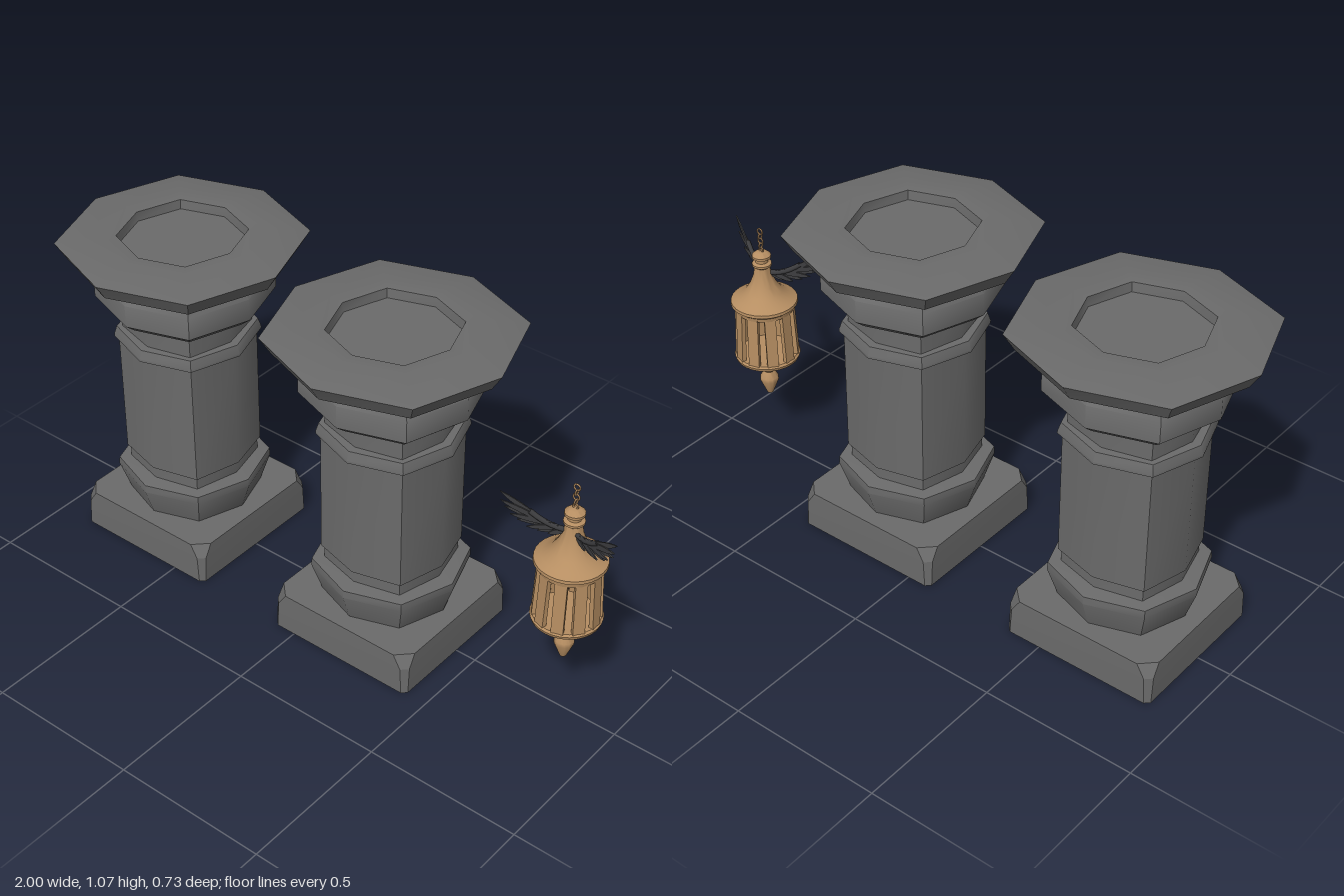
import * as THREE from 'three';
import { toCreasedNormals } from 'three/addons/utils/BufferGeometryUtils.js';

const stone = new THREE.MeshStandardMaterial({ color: 0x6b6b6b });
stone.name = 'grey stone';
const bronze = new THREE.MeshStandardMaterial({ color: 0xb68e62 });
bronze.name = 'tan bronze';
const feather = new THREE.MeshStandardMaterial({ color: 0x3e3e40, side: THREE.DoubleSide });
feather.name = 'dark feather';

function add(parent, name, geometry, material) {
  const mesh = new THREE.Mesh(geometry, material);
  mesh.name = name;
  parent.add(mesh);
  return mesh;
}

// Skin eight-cornered rings from bottom to top; a ring of size 0 closes an end
function loft(rings, crease) {
  const pos = [];
  const isPoint = (ring) => ring[0].distanceTo(ring[4]) < 1e-6;
  for (let j = 0; j < rings.length - 1; j++) {
    const low = rings[j], high = rings[j + 1];
    for (let i = 0; i < 8; i++) {
      const n = (i + 1) % 8;
      if (!isPoint(low)) pos.push(...low[i], ...high[i], ...low[n]);
      if (!isPoint(high)) pos.push(...low[n], ...high[i], ...high[n]);
    }
  }
  const g = new THREE.BufferGeometry();
  g.setAttribute('position', new THREE.Float32BufferAttribute(pos, 3));
  return toCreasedNormals(g, crease);
}

// Octagon with corners on the axes, its diagonal corners pushed out by k
function octagon(r, y, k) {
  return Array.from({ length: 8 }, (_, i) => {
    const a = i * Math.PI / 4, s = i % 2 ? r * k : r;
    return new THREE.Vector3(Math.cos(a) * s, y, Math.sin(a) * s);
  });
}

// Square with cut corners
function cutSquare(h, y, c) {
  const d = h - c;
  return [[h, -d], [h, d], [d, h], [-d, h], [-h, d], [-h, -d], [-d, -h], [d, -h]]
    .map(([x, z]) => new THREE.Vector3(x, y, z));
}

const turned = (profile, k) => loft(profile.map(([r, y]) => octagon(r, y, k)), 0.7);

function makePillar(x) {
  const pillar = new THREE.Group();
  pillar.name = 'pillar';
  pillar.position.x = x;

  add(pillar, 'plinth', loft([
    cutSquare(0, 0, 0), cutSquare(0.255, 0, 0.015), cutSquare(0.255, 0.09, 0.02),
    cutSquare(0.253, 0.132, 0.045), cutSquare(0, 0.132, 0),
  ], 0.3), stone);
  add(pillar, 'baseMoulding', turned(
    [[0, 0.13], [0.2, 0.13], [0.232, 0.225], [0.23, 0.25], [0.18, 0.256], [0, 0.256]], 1.05), stone);
  add(pillar, 'shaft', turned(
    [[0.181, 0.25], [0.181, 0.292], [0.19, 0.298], [0.19, 0.715], [0.178, 0.72], [0.178, 0.83]], 1.12), stone);
  add(pillar, 'collar', turned(
    [[0.18, 0.708], [0.214, 0.714], [0.214, 0.722], [0.205, 0.75], [0.17, 0.75]], 1.06), stone);
  add(pillar, 'capital', turned(
    [[0.17, 0.816], [0.225, 0.832], [0.26, 0.862], [0.26, 0.935], [0.224, 0.978], [0.22, 1.002]], 1.06), stone);
  // Wide top slab with a sunken tray
  add(pillar, 'topSlab', turned(
    [[0, 1], [0.335, 1], [0.367, 1.052], [0.235, 1.072], [0.19, 1.068], [0.186, 1.038], [0, 1.038]], 1.045), stone);
  return pillar;
}

function lathe(profile) {
  const points = profile.map(([r, y]) => new THREE.Vector2(r, y));
  return toCreasedNormals(new THREE.LatheGeometry(points, 28), 0.6);
}

// Pointed feather running from (x0, y0) to (x1, y1)
function featherGeometry(x0, y0, x1, y1, w) {
  const len = Math.hypot(x1 - x0, y1 - y0);
  const s = new THREE.Shape();
  s.moveTo(0, -w * 0.35);
  s.quadraticCurveTo(len * 0.7, -w * 0.9, len, 0);
  s.quadraticCurveTo(len * 0.7, w * 0.7, 0, w * 0.35);
  const g = new THREE.ExtrudeGeometry(s, { depth: 0.004, bevelEnabled: false, curveSegments: 5 });
  g.rotateZ(Math.atan2(y1 - y0, x1 - x0));
  g.translate(x0, y0, 0);
  return g;
}

function makeWing(side) {
  const wing = new THREE.Group();
  wing.name = side > 0 ? 'leftWing' : 'rightWing';
  wing.scale.x = side;
  wing.rotation.y = -0.42 * side;
  // Feather tips from the top of the fan down to the body
  const tips = [[0.21, 0.755], [0.207, 0.728], [0.195, 0.705], [0.178, 0.685],
    [0.158, 0.667], [0.13, 0.65], [0.1, 0.64], [0.07, 0.638]];
  tips.forEach(([x, y], i) => {
    const t = i / (tips.length - 1);
    const f = add(wing, 'feather', featherGeometry(
      0.095 - 0.075 * t, 0.682 - 0.022 * t, x, y, 0.016), feather);
    f.position.z = (i % 2) * 0.004;
  });
  const arm = new THREE.QuadraticBezierCurve3(
    new THREE.Vector3(0.015, 0.66, 0.004), new THREE.Vector3(0.07, 0.66, 0.004),
    new THREE.Vector3(0.125, 0.705, 0.004));
  add(wing, 'wingArm', new THREE.TubeGeometry(arm, 8, 0.008, 6), feather);
  return wing;
}

function makeLantern(x) {
  const lantern = new THREE.Group();
  lantern.name = 'wingedLantern';
  lantern.position.x = x;

  add(lantern, 'bowlAndFinial', lathe([
    [0, 0.195], [0.01, 0.2], [0.03, 0.25], [0.03, 0.262], [0.017, 0.285], [0.022, 0.295],
    [0.045, 0.312], [0.075, 0.33], [0.103, 0.348], [0.106, 0.358], [0.1, 0.364], [0, 0.364],
  ]), bronze);
  add(lantern, 'roof', lathe([
    [0, 0.53], [0.094, 0.53], [0.096, 0.543], [0.107, 0.552], [0.106, 0.562], [0.085, 0.573],
    [0.06, 0.592], [0.042, 0.62], [0.03, 0.65], [0.024, 0.682], [0.031, 0.688], [0.031, 0.695],
    [0.02, 0.7], [0.02, 0.71], [0.03, 0.716], [0.03, 0.724], [0.018, 0.735], [0, 0.738],
  ]), bronze);

  // Cage bars, leaning slightly inwards at the top
  const bars = 10;
  for (let i = 0; i < bars; i++) {
    const pivot = new THREE.Group();
    pivot.name = 'cageBar';
    pivot.rotation.y = (i + 0.5) / bars * Math.PI * 2;
    const bar = add(pivot, 'bar', new THREE.BoxGeometry(0.036, 0.185, 0.014), bronze);
    bar.position.set(0, 0.447, 0.09);
    bar.rotation.x = -0.045;
    lantern.add(pivot);
  }

  // Hanging chain, links turned alternately
  [[0.743, 0.008], [0.758, 0.008], [0.774, 0.01], [0.79, 0.008], [0.807, 0.01]].forEach(([y, r], i) => {
    const link = add(lantern, 'chainLink', new THREE.TorusGeometry(r, 0.0028, 6, 12), bronze);
    link.position.y = y;
    link.rotation.y = (i % 2) * Math.PI / 2;
  });

  lantern.add(makeWing(1), makeWing(-1));
  return lantern;
}

export function createModel() {
  const model = new THREE.Group();
  model.name = 'pillarsAndLantern';
  model.add(makePillar(-0.633), makePillar(0.175), makeLantern(0.805));
  return model;
}
